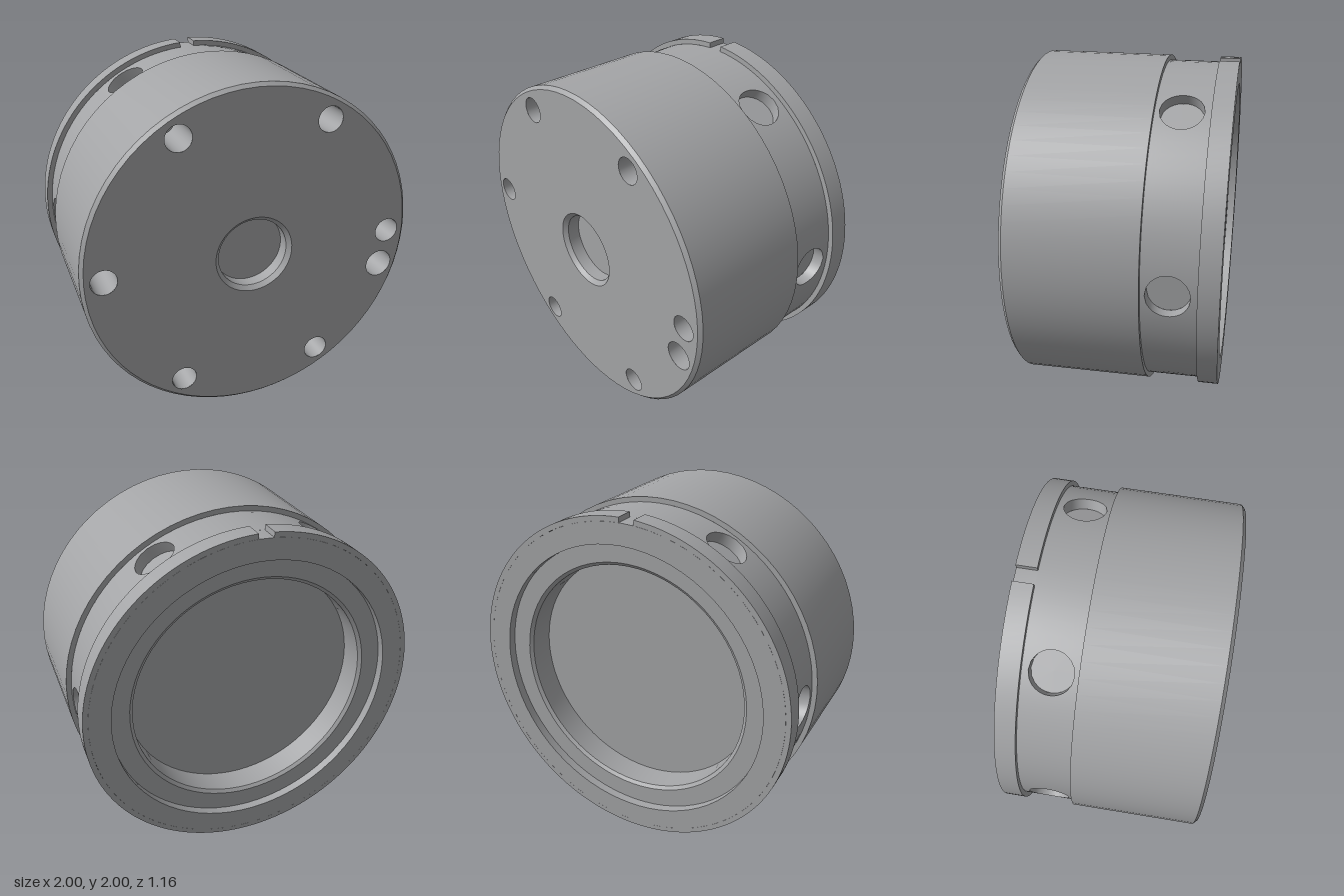
import * as THREE from 'three';
import { toCreasedNormals } from 'three/addons/utils/BufferGeometryUtils.js';

const SEG = 72;
const steel = new THREE.MeshStandardMaterial({ color: 0xa3a4a6 });
steel.name = 'steel grey';

function addMesh(parent, name, geometry) {
  const mesh = new THREE.Mesh(geometry, steel);
  mesh.name = name;
  parent.add(mesh);
  return mesh;
}

// Turned surface about z; profile points are [radius, z]
function turned(profile, start = 0, length = Math.PI * 2, seg = SEG) {
  const pts = profile.map(([r, z]) => new THREE.Vector2(r, z));
  const g = new THREE.LatheGeometry(pts, seg, start, length).rotateX(Math.PI / 2);
  return toCreasedNormals(g, 0.5);
}

// Skin between closed rings of points, inner ring first
function loft(rings) {
  const n = rings[0].length;
  const index = [];
  for (let s = 0; s < rings.length - 1; s++) {
    for (let i = 0; i < n; i++) {
      const j = (i + 1) % n;
      const a = s * n + i, b = a + n, c = (s + 1) * n + j, d = s * n + j;
      index.push(a, b, c, a, c, d);
    }
  }
  const g = new THREE.BufferGeometry();
  g.setAttribute('position', new THREE.Float32BufferAttribute(rings.flat(2), 3));
  g.setIndex(index);
  g.computeVertexNormals();
  return g;
}

// 60 degree panel of a cylinder wall with a blind radial hole through its middle (pointing up)
function drilledPanel(R, z0, z1, zc, r, rim, floorY) {
  const group = new THREE.Group();
  const half = Math.PI / 6, n = 16;
  const surface = (x, z) => [x, Math.sqrt(R * R - x * x), z];

  // Panel border, anticlockwise seen from outside
  const border = [];
  for (let side = 0; side < 4; side++) {
    for (let i = 0; i < n; i++) {
      const t = i / n;
      const across = R * Math.sin(half * (1 - 2 * t));
      if (side === 0) border.push([R * Math.sin(half), z1 + (z0 - z1) * t]);
      if (side === 1) border.push([across, z0]);
      if (side === 2) border.push([-R * Math.sin(half), z0 + (z1 - z0) * t]);
      if (side === 3) border.push([-across, z1]);
    }
  }
  const circle = (radius) => border.map(([x, z]) => {
    const a = Math.atan2(z - zc, x);
    return [radius * Math.cos(a), zc + radius * Math.sin(a)];
  });

  const edge = circle(rim);
  const rings = [];
  for (let s = 0; s <= 5; s++) {
    rings.push(edge.map(([x, z], i) =>
      surface(x + (border[i][0] - x) * s / 5, z + (border[i][1] - z) * s / 5)));
  }
  const skin = loft(rings);
  const p = skin.attributes.position;
  for (let i = 0; i < p.count; i++) skin.attributes.normal.setXYZ(i, p.getX(i) / R, p.getY(i) / R, 0);
  addMesh(group, 'drilledWall', skin);

  // Bore, optional chamfer and flat bottom
  const bevel = rim - r;
  const top = circle(r).map(([x, z]) => [x, surface(x, z)[1] - bevel, z]);
  addMesh(group, 'holeWall', loft([circle(r).map(([x, z]) => [x, floorY, z]), top]));
  if (bevel > 0) addMesh(group, 'holeChamfer', loft([top, rings[0]]));
  addMesh(group, 'holeFloor', new THREE.CircleGeometry(r, 48).rotateX(-Math.PI / 2).translate(0, floorY, zc));
  return group;
}

export function createModel() {
  const model = new THREE.Group();
  model.name = 'machinedHub';
  const hub = new THREE.Group();
  hub.name = 'hub';
  hub.position.y = 1;
  model.add(hub);

  // Main drum: wall, large side hole underneath, front chamfer, rear shoulder
  addMesh(hub, 'drumWall', turned([[1, -0.165], [1, 0.56]], Math.PI / 6, Math.PI * 5 / 3, 60));
  const port = drilledPanel(1, -0.165, 0.56, 0.135, 0.272, 0.295, -0.17 + 1);
  port.name = 'bottomPort';
  port.rotation.z = Math.PI;
  hub.add(port);
  addMesh(hub, 'frontChamfer', turned([[1, 0.56], [0.98, 0.58]]));
  addMesh(hub, 'rearShoulder', turned([[0.97, -0.165], [1, -0.165]]));

  // Front face with its drilled holes: [x, y, radius]
  const holes = [[0.84, -0.225, 0.085]];
  for (let i = 0; i < 6; i++) {
    const a = i * Math.PI / 3;
    holes.push([0.872 * Math.cos(a), 0.872 * Math.sin(a), 0.075]);
  }
  const face = new THREE.Shape().absarc(0, 0, 0.98, 0, Math.PI * 2);
  for (const [x, y, r] of [...holes, [0, 0, 0.235]]) {
    face.holes.push(new THREE.Path().absarc(x, y, r, 0, Math.PI * 2, true));
  }
  addMesh(hub, 'frontFace', new THREE.ShapeGeometry(face, 36).translate(0, 0, 0.58));
  for (const [x, y, r] of holes) {
    const cup = addMesh(hub, 'frontHole', turned([[r, 0.58], [r, 0.28], [0, 0.28]], 0, Math.PI * 2, 36));
    cup.position.set(x, y, 0);
  }
  addMesh(hub, 'centreBore', turned([[0.235, 0.58], [0.21, 0.555], [0.21, 0.48], [0, 0.48]]));

  // Groove band with six radial holes
  for (let i = 0; i < 6; i++) {
    const panel = drilledPanel(0.97, -0.465, -0.165, -0.31, 0.12, 0.12, 0.9);
    panel.name = 'groovePanel';
    panel.rotation.z = i * Math.PI / 3 - Math.PI / 2;
    hub.add(panel);
  }

  // Rear recess, stepped, with a flat floor
  addMesh(hub, 'rearRecess', turned([
    [0, -0.36], [0.71, -0.36], [0.71, -0.515], [0.73, -0.53],
    [0.845, -0.53], [0.845, -0.58], [0.97, -0.58], [0.97, -0.465],
  ]));

  // Rear flange rim, open at the notch on top
  const a0 = Math.PI / 2 + Math.asin(0.08);
  const a1 = Math.PI * 2.5 - Math.asin(0.01);
  const rim = new THREE.Shape();
  rim.absarc(0, 0, 1, a0, a1, false);
  rim.absarc(0, 0, 0.97, a1, a0, true);
  const flange = new THREE.ExtrudeGeometry(rim, { depth: 0.115, bevelEnabled: false, curveSegments: SEG });
  addMesh(hub, 'rearFlange', toCreasedNormals(flange.translate(0, 0, -0.58), 0.5));

  return model;
}
